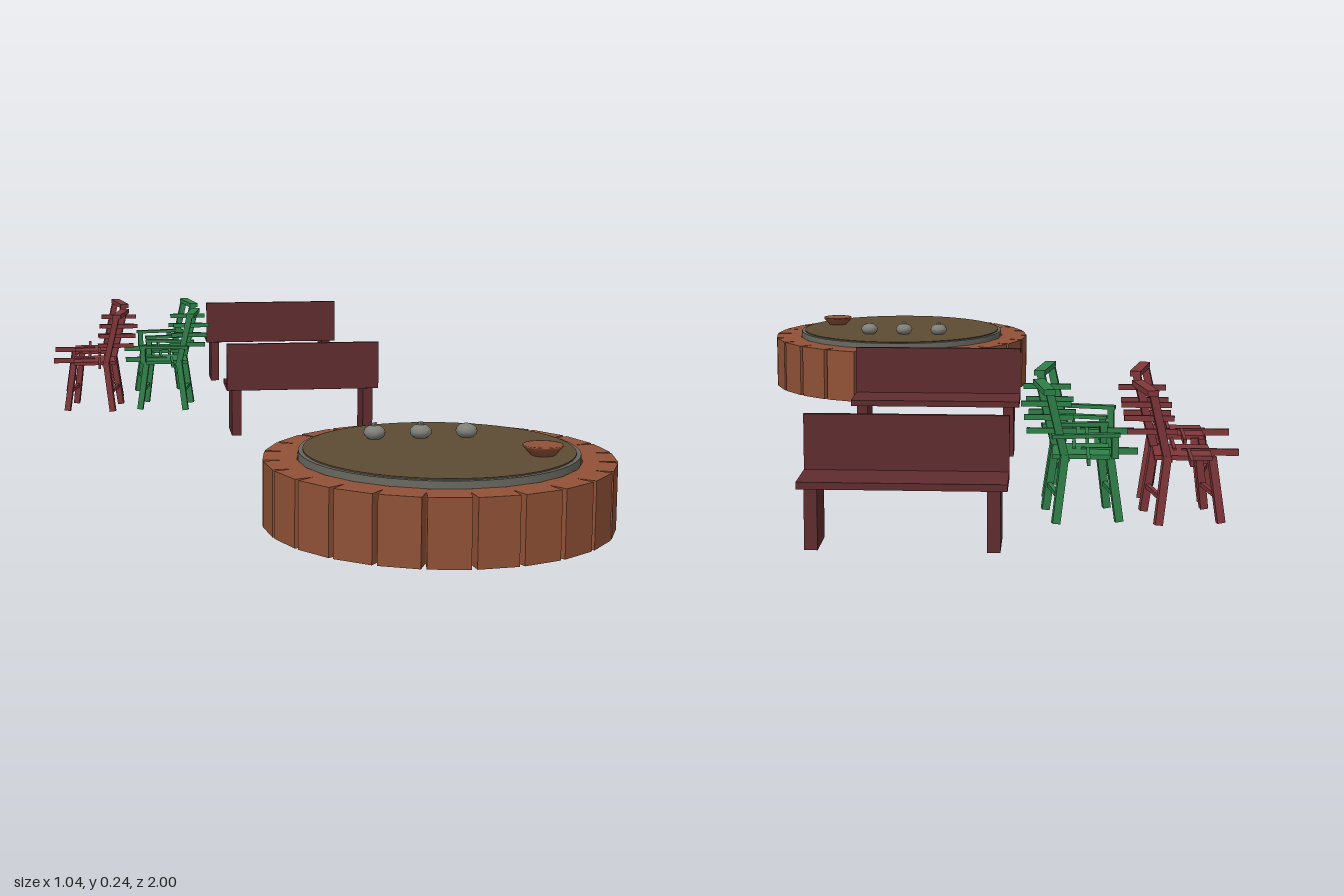
import * as THREE from 'three';

const mat = (name, color) => {
  const m = new THREE.MeshStandardMaterial({ color });
  m.name = name;
  return m;
};

function add(parent, name, geometry, material, x = 0, y = 0, z = 0) {
  const mesh = new THREE.Mesh(geometry, material);
  mesh.name = name;
  mesh.position.set(x, y, z);
  parent.add(mesh);
  return mesh;
}

const box = (parent, name, material, size, pos) =>
  add(parent, name, new THREE.BoxGeometry(...size), material, ...pos);

// Square bar running between two points
function bar(parent, name, material, a, b, w, d = w) {
  const p = new THREE.Vector3(...a), q = new THREE.Vector3(...b);
  const mesh = box(parent, name, material, [w, p.distanceTo(q), d], p.clone().add(q).multiplyScalar(0.5).toArray());
  mesh.quaternion.setFromUnitVectors(new THREE.Vector3(0, 1, 0), q.sub(p).normalize());
  return mesh;
}

function group(parent, name, x, y, z) {
  const g = new THREE.Group();
  g.name = name;
  g.position.set(x, y, z);
  parent.add(g);
  return g;
}

// Ladder-back chair facing -x; the frame is turned a little under the seat
function chair(parent, name, material, x, z, yaw, arms) {
  const g = group(parent, name, x, 0, z);
  box(g, 'seat', material, [0.1, 0.008, 0.1], [0, 0.116, 0]);
  box(g, 'frontRail', material, [0.1, 0.012, 0.006], [-0.05, 0.117, 0]);
  for (const s of [-1, 1]) box(g, 'sideRail', material, [0.006, 0.012, 0.1], [s * 0.012, 0.117, s * 0.05]);
  for (const [i, y] of [0.152, 0.176, 0.2].entries())
    box(g, 'backSlat', material, [0.088, 0.01, 0.006], [0.052 + i * 0.005, y, 0]);

  const frame = group(g, 'frame', 0, 0, 0);
  frame.rotation.y = yaw;
  for (const s of [-1, 1]) {
    bar(frame, 'frontLeg', material, [-0.058, 0, s * 0.054], [-0.042, 0.116, s * 0.045], 0.014);
    bar(frame, 'rearLeg', material, [0.054, 0, s * 0.054], [0.038, 0.12, s * 0.046], 0.014);
    bar(frame, 'backPost', material, [0.036, 0.108, s * 0.046], [0.066, 0.232, s * 0.05], 0.014, 0.01);
    if (arms) {
      box(frame, 'armRest', material, [0.12, 0.007, 0.014], [0.002, 0.154, s * 0.052]);
      box(frame, 'armPost', material, [0.012, 0.04, 0.01], [-0.05, 0.132, s * 0.05]);
    }
  }
  box(frame, 'topRail', material, [0.02, 0.01, 0.114], [0.067, 0.232, 0]);
  box(frame, 'frontStretcher', material, [0.008, 0.008, 0.1], [-0.052, 0.046, 0]);
  box(frame, 'rearStretcher', material, [0.008, 0.008, 0.1], [0.048, 0.046, 0]);
}

// Bench facing -z, with its back panel on the +z side
function bench(parent, material, z) {
  const g = group(parent, 'bench', 0.0475, 0, z);
  box(g, 'benchSeat', material, [0.345, 0.012, 0.1], [0, 0.11, -0.002]);
  box(g, 'benchBack', material, [0.345, 0.106, 0.009], [0, 0.158, 0.0485]);
  for (const s of [-1, 1]) box(g, 'benchLeg', material, [0.022, 0.105, 0.086], [s * 0.15, 0.0525, 0]);
}

export function createModel() {
  const model = new THREE.Group();
  model.name = 'gardenSeating';
  const brick = mat('brick', 0x905136);
  const soil = mat('soil', 0x5d4b33);
  const rim = mat('rimGrey', 0x686860);
  const stone = mat('stoneGrey', 0x80807a);
  const maroon = mat('maroonWood', 0x5f2c2f);
  const red = mat('redPaint', 0x7f363a);
  const green = mat('greenPaint', 0x2f8049);

  // Round brick planter
  const planter = group(model, 'planter', 0.2, 0, 0.675);
  const count = 24, brickShape = new THREE.BoxGeometry(0.074, 0.122, 0.062);
  for (let i = 0; i < count; i++) {
    const a = ((i + 0.5) / count) * Math.PI * 2;
    const b = add(planter, 'brick', brickShape, brick, Math.sin(a) * 0.287, 0.061, Math.cos(a) * 0.287);
    b.rotation.y = a;
  }
  add(planter, 'core', new THREE.CylinderGeometry(0.255, 0.26, 0.135, 48), rim, 0, 0.0675, 0);
  add(planter, 'soilTop', new THREE.CylinderGeometry(0.247, 0.247, 0.004, 48), soil, 0, 0.1355, 0);

  // Small stones and a bowl on the top
  [-0.102, -0.015, 0.072].forEach((x, i) => {
    const s = add(planter, 'stone', new THREE.IcosahedronGeometry(0.021, 1), stone, x, 0.149, -0.1);
    s.scale.y = 0.7;
    s.rotation.y = i * 0.8;
    if (i < 2) add(planter, 'stoneTip', new THREE.IcosahedronGeometry(0.007, 0), stone, x, 0.162, -0.1);
  });
  const bowl = [[0, 0], [0.022, 0], [0.036, 0.016], [0.036, 0.019], [0.032, 0.019], [0, 0.016]]
    .map(([x, y]) => new THREE.Vector2(x, y));
  add(planter, 'bowl', new THREE.LatheGeometry(bowl, 24), brick, 0.174, 0.137, 0.073);

  bench(model, maroon, -0.198);
  bench(model, maroon, -0.948);

  // Two rows of chairs
  for (const [z, yaw] of [[-0.728, 0.2], [-0.547, -0.2]]) {
    chair(model, 'redChair', red, -0.422, z, yaw, false);
    chair(model, 'greenChair', green, -0.246, z, yaw * 0.9, true);
  }
  return model;
}
